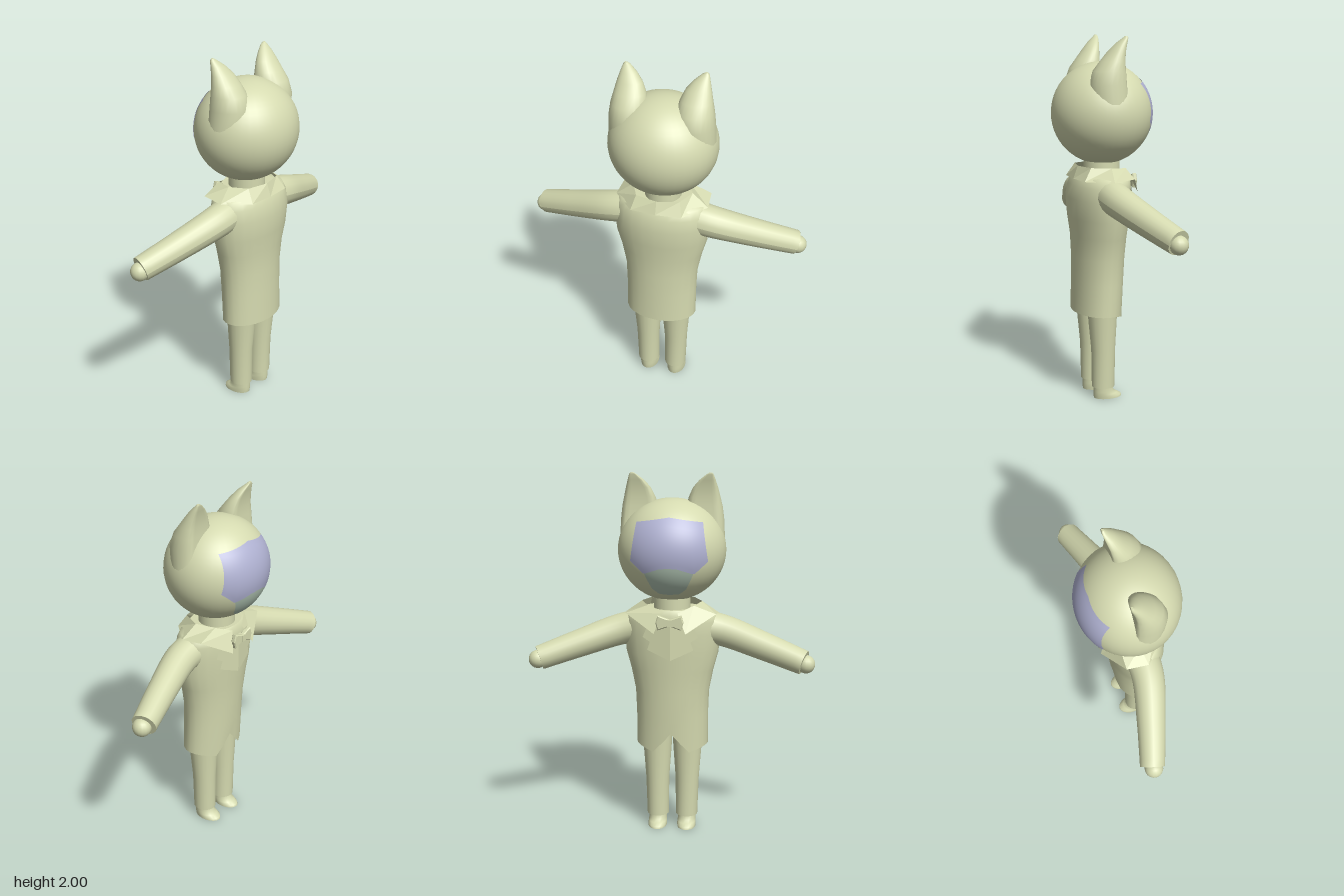
import * as THREE from 'three';

const paint = (color, extra = {}) => {
  const m = new THREE.MeshStandardMaterial({ side: THREE.DoubleSide, ...extra });
  m.color.set(color);
  return m;
};
const cloth = paint(0xd5dab0);
const faceted = paint(0xd5dab0, { flatShading: true });
const visorBlue = paint(0xb0b2d2);
const muzzleGreen = paint(0xb4c8b6);

const HEAD = { y: 1.587, rx: 0.293, ry: 0.277, rz: 0.272 };

function add(parent, name, geometry, material = cloth) {
  const mesh = new THREE.Mesh(geometry, material);
  mesh.name = name;
  parent.add(mesh);
  return mesh;
}

function buildGeometry(pos, idx) {
  const g = new THREE.BufferGeometry();
  g.setAttribute('position', new THREE.Float32BufferAttribute(pos, 3));
  g.setIndex(idx);
  g.computeVertexNormals();
  return g;
}

// Skin over horizontal ellipses [y, x0, x1, z0, z1], listed from the bottom up
function loft(sections, { n = 24, capBottom = false, capTop = false, tweak } = {}) {
  const pos = [], idx = [];
  const ring = (s, i) => {
    const [y, x0, x1, z0, z1] = s;
    for (let j = 0; j < n; j++) {
      const a = (j / n) * Math.PI * 2;
      const p = new THREE.Vector3((x0 + x1) / 2 + (x1 - x0) / 2 * Math.cos(a), y,
        (z0 + z1) / 2 + (z1 - z0) / 2 * Math.sin(a));
      if (tweak) tweak(p, i, Math.sin(a), s);
      pos.push(p.x, p.y, p.z);
    }
  };
  sections.forEach(ring);
  for (let i = 0; i < sections.length - 1; i++) {
    for (let j = 0; j < n; j++) {
      const a = i * n + j, b = i * n + (j + 1) % n;
      idx.push(a, a + n, b, b, a + n, b + n);
    }
  }
  // Caps use their own vertices so the rim stays sharp
  const cap = (i, up) => {
    const base = pos.length / 3;
    ring(sections[i], i);
    for (let j = 1; j < n - 1; j++) {
      idx.push(base, base + (up ? j + 1 : j), base + (up ? j : j + 1));
    }
  };
  if (capBottom) cap(0, false);
  if (capTop) cap(sections.length - 1, true);
  return buildGeometry(pos, idx);
}

const mirrored = (sections, s) =>
  s > 0 ? sections : sections.map(([y, x0, x1, z0, z1]) => [y, -x1, -x0, z0, z1]);

// Piecewise linear value through [x, value] pairs
function along(pairs, x) {
  let k = 1;
  while (k < pairs.length - 1 && x > pairs[k][0]) k++;
  const [a, b] = [pairs[k - 1], pairs[k]];
  return THREE.MathUtils.mapLinear(x, a[0], b[0], a[1], b[1]);
}

// Coloured patch wrapped on the face between a lower and an upper edge
function facePatch(half, lower, upper, lift) {
  const g = new THREE.PlaneGeometry(1, 1, 24, 12);
  const p = g.attributes.position;
  for (let i = 0; i < p.count; i++) {
    const v = p.getY(i) + 0.5;
    const u = p.getX(i) * 2;
    const x = u * THREE.MathUtils.lerp(half[0], half[1], v);
    const y = THREE.MathUtils.lerp(along(lower, Math.abs(u)), along(upper, Math.abs(u)), v);
    const q = 1 - (x / HEAD.rx) ** 2 - ((y - HEAD.y) / HEAD.ry) ** 2;
    p.setXYZ(i, x, y, -HEAD.rz * Math.sqrt(Math.max(q, 0)) - lift);
  }
  g.computeVertexNormals();
  return g;
}

function buildHead(root) {
  const head = new THREE.Group();
  head.name = 'head';
  root.add(head);
  const skull = new THREE.SphereGeometry(1, 40, 28);
  skull.scale(HEAD.rx, HEAD.ry, HEAD.rz).translate(0, HEAD.y, 0);
  add(head, 'skull', skull);
  add(head, 'visor', facePatch([0.205, 0.175],
    [[0, 1.52], [0.25, 1.515], [0.65, 1.485], [1, 1.55]], [[0, 1.778], [1, 1.75]], 0.003), visorBlue);
  add(head, 'muzzle', facePatch([0.09, 0.13],
    [[0, 1.365], [0.6, 1.37], [1, 1.4]], [[0, 1.522], [0.4, 1.515], [1, 1.487]], 0.002), muzzleGreen);

  // Ears: broad at the skull, hollowed on the face side
  const ear = [
    [1.65, 0.07, 0.284, -0.09, 0.13], [1.75, 0.07, 0.279, -0.085, 0.14],
    [1.82, 0.075, 0.27, -0.075, 0.115], [1.87, 0.09, 0.258, -0.065, 0.075],
    [1.92, 0.113, 0.246, -0.062, 0.035], [1.96, 0.148, 0.234, -0.065, 0.0],
    [1.99, 0.185, 0.224, -0.066, -0.035], [2.0, 0.202, 0.216, -0.06, -0.045],
  ];
  for (const s of [1, -1]) {
    add(head, s > 0 ? 'leftEar' : 'rightEar', loft(mirrored(ear, s), {
      capTop: true,
      tweak: (p, i, sin, sec) => {
        if (sin < -0.6) p.z += (-sin - 0.6) * 0.5 * (sec[4] - sec[3]);
      },
    }));
  }
}

function buildJacket(root) {
  // Long jacket, its hem notched at the front
  add(root, 'jacket', loft([
    [0.49, -0.2, 0.2, -0.095, 0.165], [0.66, -0.2, 0.2, -0.105, 0.162],
    [0.8, -0.205, 0.205, -0.112, 0.16], [0.92, -0.228, 0.228, -0.12, 0.163],
    [1.02, -0.255, 0.255, -0.13, 0.175], [1.13, -0.265, 0.265, -0.137, 0.184],
    [1.2, -0.262, 0.262, -0.138, 0.17], [1.245, -0.24, 0.24, -0.135, 0.155],
    [1.27, -0.16, 0.16, -0.12, 0.135],
  ], {
    capTop: true,
    tweak: (p, i, sin) => {
      if (i === 0 && sin < 0) p.y = along([[0, 0.57], [0.1, 0.46], [0.2, 0.49]], Math.abs(p.x));
    },
  }));
  add(root, 'neck', new THREE.CylinderGeometry(0.1, 0.1, 0.16, 24).translate(0, 1.28, 0));

  // Folded collar, open at the front with two points
  const top = [[0, 1.305, 0.14], [0.12, 1.305, 0.11], [0.165, 1.303, 0.01], [0.125, 1.295, -0.09], [0.04, 1.26, -0.14]];
  const low = [[0, 1.235, 0.165], [0.14, 1.235, 0.155], [0.255, 1.238, 0.03], [0.245, 1.25, -0.09], [0.085, 1.155, -0.18]];
  const both = (row) => [...row.slice(1).reverse().map(([x, y, z]) => [-x, y, z]), ...row];
  const cols = top.length * 2 - 1, idx = [];
  for (let i = 0; i < cols - 1; i++) idx.push(i, cols + i, i + 1, i + 1, cols + i, cols + i + 1);
  add(root, 'collar', buildGeometry([...both(top), ...both(low)].flat(), idx), faceted);

  // Lapels lying on the chest
  for (const s of [1, -1]) {
    const outline = [[0, 1.22], [0, 1.0], [0.125, 1.055], [0.11, 1.1], [0.15, 1.125], [0.11, 1.22]];
    const g = new THREE.ShapeGeometry(new THREE.Shape(outline.map(([x, y]) => new THREE.Vector2(x * s, y))));
    const p = g.attributes.position;
    for (let i = 0; i < p.count; i++) p.setZ(i, -0.15 + 0.2 * Math.abs(p.getX(i)));
    add(root, s > 0 ? 'leftLapel' : 'rightLapel', g, faceted);
  }

  // Bow tie
  const bow = new THREE.Group();
  bow.name = 'bowTie';
  bow.position.set(0, 1.215, -0.17);
  root.add(bow);
  const outline = [[0, 0.012], [0.06, 0.034], [0.07, 0], [0.06, -0.034], [0, -0.012],
    [-0.06, -0.034], [-0.07, 0], [-0.06, 0.034]];
  add(bow, 'bowWings', new THREE.ExtrudeGeometry(new THREE.Shape(outline.map((c) => new THREE.Vector2(...c))),
    { depth: 0.016, bevelSize: 0.005, bevelThickness: 0.005, bevelSegments: 1 }).translate(0, 0, -0.008), faceted);
  add(bow, 'bowKnot', new THREE.BoxGeometry(0.028, 0.036, 0.036), faceted);
}

function buildArm(root, s) {
  const arm = new THREE.Group();
  arm.name = s > 0 ? 'leftArm' : 'rightArm';
  root.add(arm);
  const path = new THREE.CatmullRomCurve3([[0.15, 1.165, 0.02], [0.28, 1.14, 0.017],
    [0.5, 1.07, -0.042], [0.72, 0.997, -0.112]].map(([x, y, z]) => new THREE.Vector3(x * s, y, z)));
  // Tapered sleeve
  const steps = 16, sides = 20;
  const sleeve = new THREE.TubeGeometry(path, steps, 1, sides);
  const p = sleeve.attributes.position, v = new THREE.Vector3();
  for (let i = 0; i < p.count; i++) {
    const t = Math.floor(i / (sides + 1)) / steps, c = path.getPointAt(t);
    v.fromBufferAttribute(p, i).sub(c).multiplyScalar(0.093 - 0.026 * t).add(c);
    p.setXYZ(i, v.x, v.y, v.z);
  }
  sleeve.computeVertexNormals();
  add(arm, 'sleeve', sleeve);
  const end = path.getPointAt(1);
  const cuff = add(arm, 'cuffEnd', new THREE.CircleGeometry(0.067, sides));
  cuff.position.copy(end);
  cuff.lookAt(end.clone().add(path.getTangentAt(1)));
  const hand = add(arm, 'hand', new THREE.SphereGeometry(0.05, 16, 12));
  hand.position.set(0.731 * s, 0.988, -0.108);
}

function buildLeg(root, s) {
  const leg = new THREE.Group();
  leg.name = s > 0 ? 'leftLeg' : 'rightLeg';
  root.add(leg);
  add(leg, 'trouser', loft(mirrored([
    [0.065, 0.02, 0.143, -0.04, 0.088], [0.28, 0.018, 0.15, -0.042, 0.092],
    [0.49, 0.003, 0.166, -0.052, 0.112], [0.6, 0.0, 0.172, -0.06, 0.12],
  ], s), { n: 20, capBottom: true, capTop: true }));
  add(leg, 'shoe', loft(mirrored([
    [0, 0.03, 0.135, -0.083, 0.078], [0.012, 0.029, 0.136, -0.08, 0.08],
    [0.026, 0.03, 0.135, -0.055, 0.08], [0.04, 0.032, 0.133, -0.034, 0.08],
    [0.07, 0.032, 0.133, -0.03, 0.08],
  ], s), { n: 20, capBottom: true }));
}

export function createModel() {
  const root = new THREE.Group();
  root.name = 'figure';
  buildHead(root);
  buildJacket(root);
  for (const s of [1, -1]) {
    buildArm(root, s);
    buildLeg(root, s);
  }
  return root;
}
